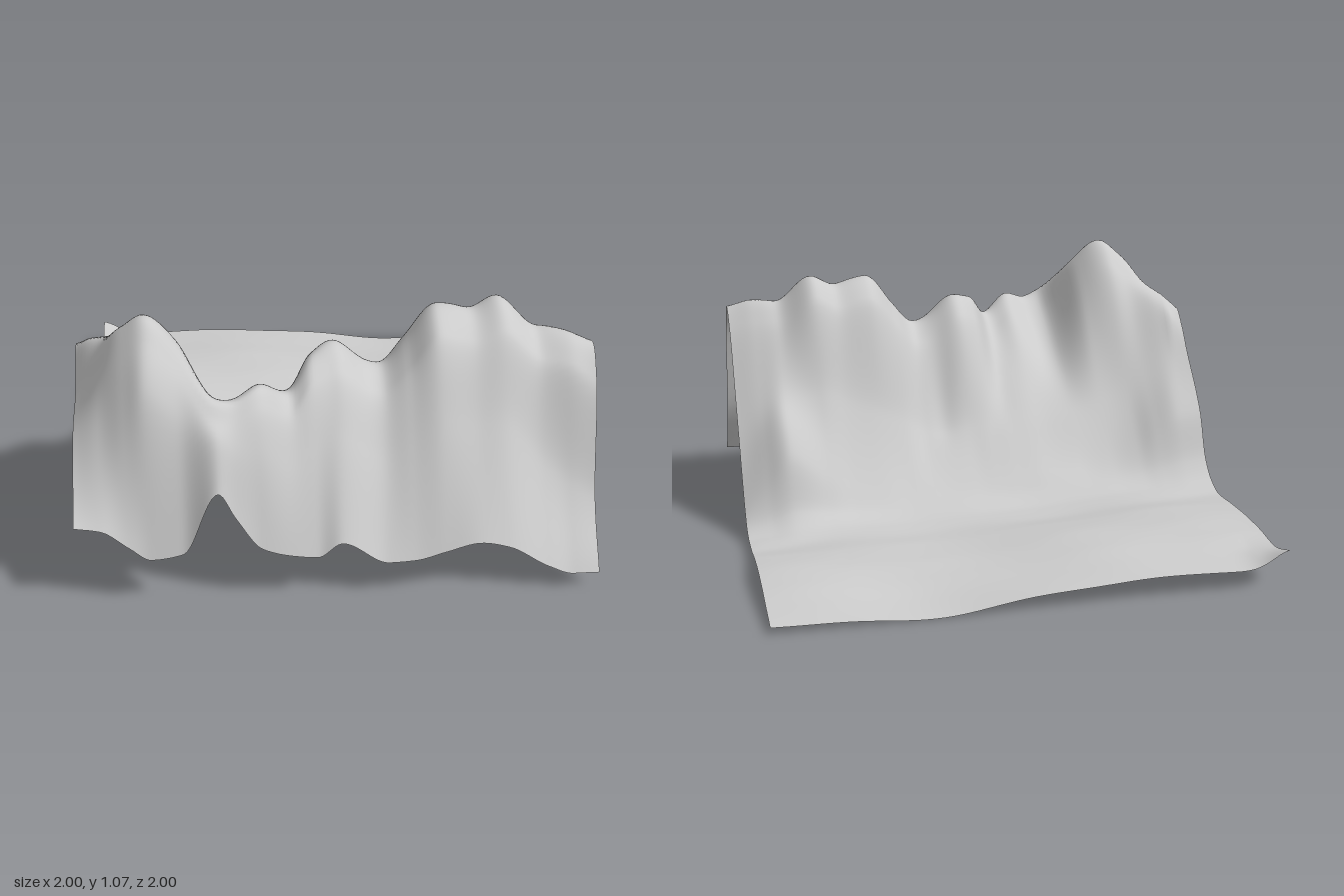
import * as THREE from 'three';

// Ridge stations across x:
// [x, front edge height, crest height, crest z, front slope fullness, back slope height, foot height]
const STATIONS = [
  [-1.0, 0.38, 0.80, 0.35, 0.60, 0.64, 0.40],
  [-0.9, 0.36, 0.92, 0.50, 0.60, 0.60, 0.39],
  [-0.8, 0.28, 1.01, 0.60, 0.68, 0.53, 0.32],
  [-0.72, 0.22, 1.07, 0.63, 0.75, 0.48, 0.25],
  [-0.6, 0.24, 0.97, 0.67, 0.72, 0.43, 0.20],
  [-0.46, 0.51, 0.80, 0.82, 0.65, 0.39, 0.18],
  [-0.4, 0.40, 0.78, 0.80, 0.65, 0.38, 0.18],
  [-0.3, 0.25, 0.81, 0.75, 0.65, 0.37, 0.18],
  [-0.18, 0.21, 0.745, 0.68, 0.60, 0.36, 0.17],
  [-0.09, 0.20, 0.84, 0.58, 0.58, 0.36, 0.16],
  [0.0, 0.26, 0.86, 0.53, 0.58, 0.35, 0.15],
  [0.18, 0.16, 0.75, 0.52, 0.58, 0.34, 0.14],
  [0.28, 0.165, 0.85, 0.50, 0.58, 0.39, 0.14],
  [0.4, 0.20, 0.99, 0.47, 0.56, 0.45, 0.15],
  [0.53, 0.235, 0.95, 0.46, 0.54, 0.50, 0.17],
  [0.64, 0.21, 1.00, 0.45, 0.52, 0.55, 0.22],
  [0.8, 0.11, 0.88, 0.50, 0.44, 0.55, 0.32],
  [0.9, 0.07, 0.89, 0.54, 0.37, 0.49, 0.21],
  [1.0, 0.07, 0.85, 0.58, 0.31, 0.41, 0.11],
];

// Smooth interpolation through [position, value] knots, without overshoot
function smoothThrough(knots) {
  const n = knots.length;
  const step = (i) => knots[i + 1][0] - knots[i][0];
  const slope = (i) => (knots[i + 1][1] - knots[i][1]) / step(i);
  const tangents = knots.map((_, i) => {
    if (i === 0) return slope(0);
    if (i === n - 1) return slope(n - 2);
    const a = slope(i - 1), b = slope(i);
    return a * b <= 0 ? 0 : (2 * a * b) / (a + b);
  });
  return (p) => {
    let i = 0;
    while (i < n - 2 && p > knots[i + 1][0]) i++;
    const h = step(i), t = (p - knots[i][0]) / h, u = 1 - t;
    return knots[i][1] * u * u * (1 + 2 * t) + knots[i + 1][1] * t * t * (3 - 2 * t)
      + h * t * u * (tangents[i] * u - tangents[i + 1] * t);
  };
}

const bump = (x, z, cx, cz, rx, rz) => Math.exp(-(((x - cx) / rx) ** 2) - ((z - cz) / rz) ** 2);

// Gently rolling plain behind the ridge, with one raised corner
function plainHeight(x, z) {
  return 0.077 - 0.036 * x + 0.02 * Math.cos((z + 0.55) * 5.6)
    - 0.04 * bump(x, z, 0.35, -1, 0.4, 0.8)
    + 0.05 * bump(x, z, -1, -1, 0.09, 0.08)
    - 0.02 * bump(x, z, -0.88, -0.92, 0.12, 0.1)
    + 0.006 * Math.sin(5 * x + 4 * z) + 0.004 * Math.sin(11 * x - 7 * z);
}

// Fine folds running down the ridge, and the shallow gullies behind it
function ridgeDetail(x, z) {
  const onRidge = bump(x, z, x, 0.5, 1, 0.28);
  const folds = 0.005 * Math.sin(23 * x + 5 * z) + 0.003 * Math.sin(37 * x - 9 * z);
  return onRidge * folds
    - 0.05 * bump(x, z, 0.1, 0.3, 0.06, 0.1)
    - 0.05 * bump(x, z, -0.9, 0.52, 0.08, 0.1)
    + 0.03 * bump(x, z, 0.86, 0.1, 0.08, 0.1);
}

export function createModel() {
  const group = new THREE.Group();
  group.name = 'landscape';

  const curves = [1, 2, 3, 4, 5, 6].map((k) => smoothThrough(STATIONS.map((s) => [s[0], s[k]])));

  // Profile from the back edge over the rounded crest to the front edge
  function profileAt(x) {
    const [front, crest, crestZ, fullness, back, foot] = curves.map((c) => c(x));
    const knots = [-1, -0.85, -0.7, -0.55, -0.4, -0.26].map((z) => [z, plainHeight(x, z)]);
    knots.push(
      [-0.16, plainHeight(x, -0.16) + 0.1 * foot],
      [-0.08, plainHeight(x, -0.08) + 0.3 * foot],
      [0, foot],
      [0.2, back],
      [crestZ - Math.min(0.12, 0.5 * (crestZ - 0.2)), 0.92 * crest],
      [crestZ, crest],
      [crestZ + 0.27 * (1 - crestZ), (0.94 - 0.08 * x ** 8) * crest], // narrower at the sides
      [1 - 0.42 * (1 - crestZ), front + fullness * (crest - front)],
      [1, front],
    );
    return smoothThrough(knots);
  }

  const segments = 140;
  const geometry = new THREE.PlaneGeometry(2, 2, segments, segments);
  geometry.rotateX(-Math.PI / 2);
  const positions = geometry.attributes.position;
  const row = segments + 1;
  for (let i = 0; i < row; i++) {
    const x = positions.getX(i);
    const profile = profileAt(x);
    for (let j = 0; j < row; j++) {
      const v = j * row + i;
      const z = positions.getZ(v);
      positions.setY(v, profile(z) + ridgeDetail(x, z));
    }
  }

  // Rest the lowest point on the ground
  geometry.computeBoundingBox();
  geometry.translate(0, -geometry.boundingBox.min.y, 0);
  geometry.computeVertexNormals();

  const terrain = new THREE.Mesh(
    geometry,
    new THREE.MeshStandardMaterial({ color: 0xcccccc, side: THREE.DoubleSide }),
  );
  terrain.name = 'mountainTerrain';
  group.add(terrain);
  return group;
}
